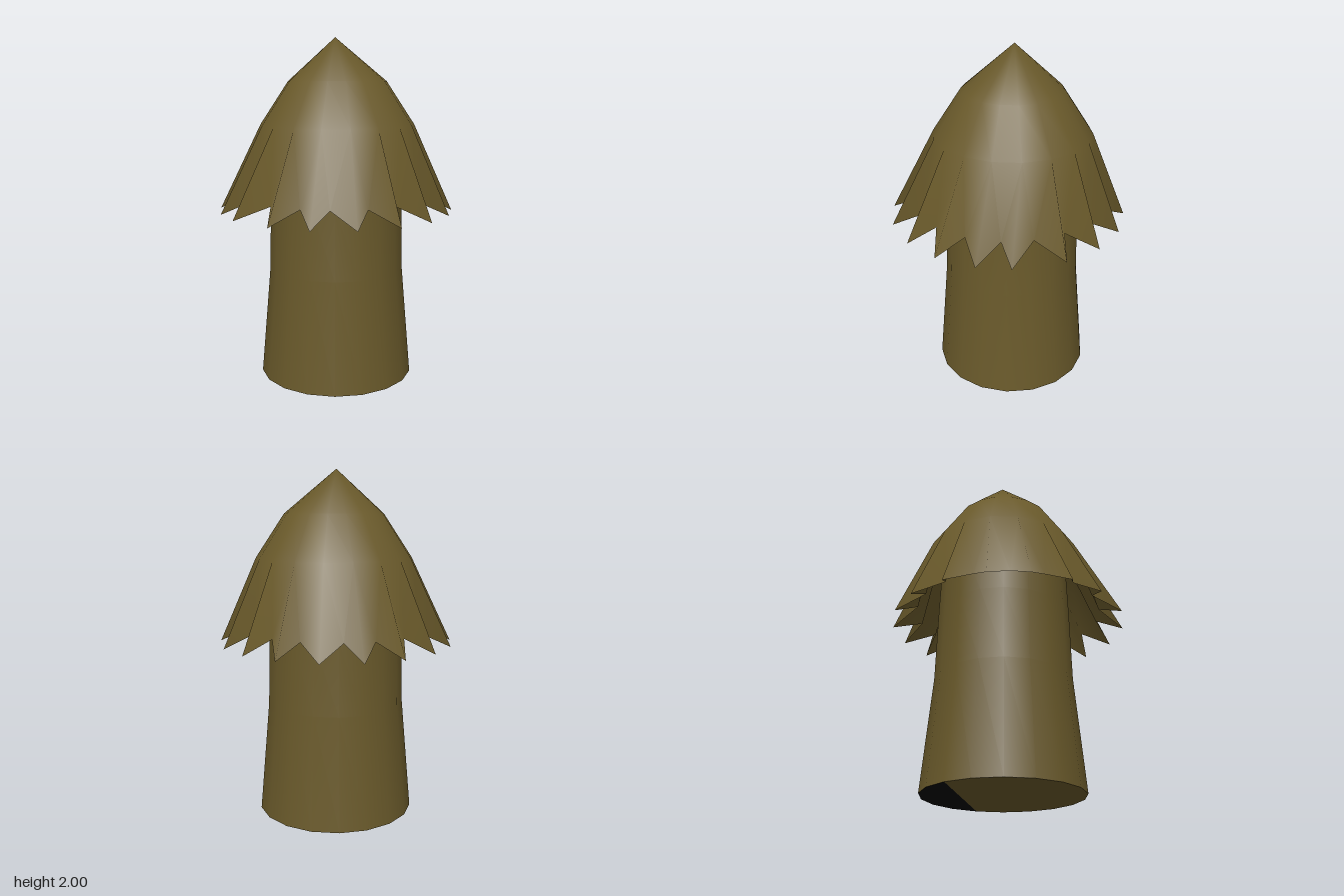
import * as THREE from 'three';

const straw = new THREE.MeshStandardMaterial({ color: 0x6a5a2b, side: THREE.DoubleSide });
straw.name = 'olive brown';
const black = new THREE.MeshStandardMaterial({ color: 0x040404 });
black.name = 'black';

// Angles in degrees of the fringe: points and the notches that follow them
const tips = [0, 16, 41, 60.5, 80, 100, 119.5, 139, 159, 180, 199.5, 219, 236.5, 260, 280, 300.5, 321, 340];
const notches = [10.5, 29, 48.5, 68, 87, 111.5, 130, 150, 169.5, 190.5, 210.5, 230.5, 251, 271, 288, 309.5, 328.5, 349.5];
const sides = tips.length;

// Domed roof whose lower band spreads into a pleated, pointed fringe
function createRoof() {
  const pos = [-0.015, 2, -0.035];
  const normal = [0, 1, 0];
  const index = [];
  // Each vertex takes the normal of the smooth dome; lift is its upward tilt
  const addVertex = (degrees, r, y, z, lift) => {
    const a = THREE.MathUtils.degToRad(degrees);
    pos.push(r * Math.cos(a), y, z - r * Math.sin(a));
    const n = new THREE.Vector3(Math.cos(a), lift, -Math.sin(a)).normalize();
    normal.push(n.x, n.y, n.z);
  };
  for (let i = 0; i < sides; i++) {
    const step = (i * 360) / sides;
    addVertex(step, 0.288, 1.75, -0.03, 0.87);
    addVertex(step, 0.453, 1.5, -0.03, 0.55);
    addVertex(tips[i], 0.686, 1.002, 0, 0.42);
    addVertex(notches[i], 0.543, 1.085, 0, 0.35);
    const p = 1 + i * 4;
    const q = 1 + ((i + 1) % sides) * 4;
    const notch = p + 3;
    index.push(0, p, q, p, p + 1, q + 1, p, q + 1, q);
    index.push(p + 1, p + 2, notch, p + 1, notch, q + 1, q + 1, notch, q + 2);
  }
  const geo = new THREE.BufferGeometry();
  geo.setAttribute('position', new THREE.Float32BufferAttribute(pos, 3));
  geo.setAttribute('normal', new THREE.Float32BufferAttribute(normal, 3));
  geo.setIndex(index);
  return geo;
}

// Flat piece of the trunk's underside between two of its corners
function createBasePiece(from, to) {
  const corners = [];
  for (let i = from; i <= to; i++) {
    const a = THREE.MathUtils.degToRad(10 + (i * 360) / sides);
    corners.push(new THREE.Vector2(0.457 * Math.cos(a), 0.457 * Math.sin(a)));
  }
  return new THREE.ShapeGeometry(new THREE.Shape(corners)).rotateX(Math.PI / 2);
}

export function createModel() {
  const model = new THREE.Group();
  model.name = 'thatchedStump';
  const add = (parent, name, geo, material) => {
    const mesh = new THREE.Mesh(geo, material);
    mesh.name = name;
    parent.add(mesh);
  };

  add(model, 'roof', createRoof(), straw);

  // Trunk, flaring toward the ground and hidden inside the roof at its top
  const trunk = new THREE.Group();
  trunk.name = 'trunk';
  trunk.position.set(-0.005, 0, -0.026);
  model.add(trunk);
  const profile = [[0.457, 0], [0.4, 0.65], [0.391, 1.07], [0.38, 1.4]].map(([r, y]) => new THREE.Vector2(r, y));
  add(trunk, 'trunkWall', new THREE.LatheGeometry(profile, sides), straw);

  // Underside, with a black segment at the back
  add(trunk, 'trunkBase', createBasePiece(-2, 10), straw);
  add(trunk, 'trunkBaseSegment', createBasePiece(10, 16), black);
  return model;
}
